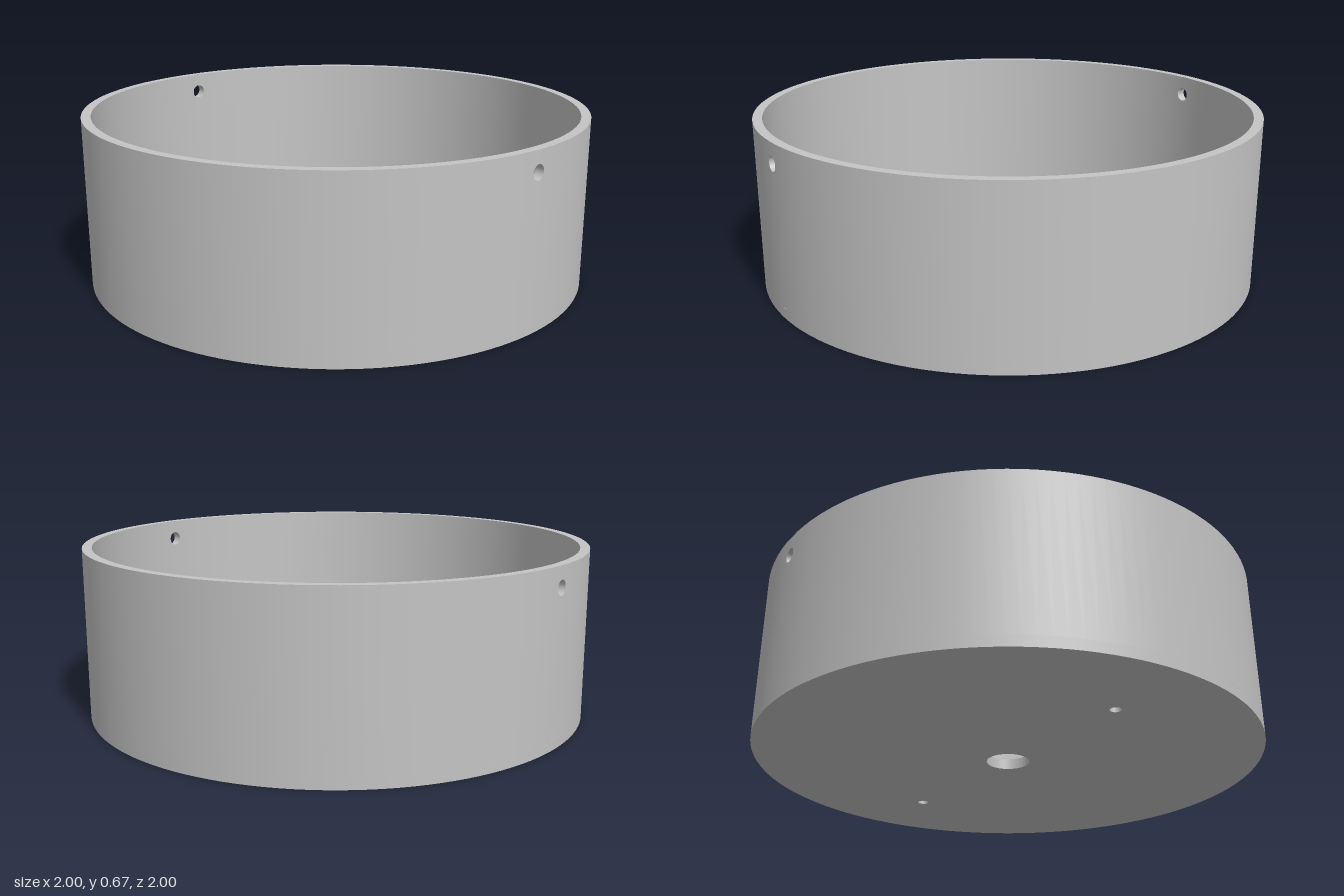
import * as THREE from 'three';

const R = 1, RI = 0.963, H = 0.67, FLOOR = 0.042;   // shell sizes
const HOLE_Y = 0.59, HOLE_R = 0.029, STRIP = 0.05;   // wall holes and half width of the strip around them

// Turn a surface inside out
function flip(geo) {
  geo.index.array.reverse();
  const n = geo.attributes.normal;
  for (let i = 0; i < n.count; i++) n.setXYZ(i, -n.getX(i), -n.getY(i), -n.getZ(i));
  return geo;
}

// Narrow wall strip with a round hole, bent to radius r
function holedStrip(r) {
  const shape = new THREE.Shape([[-STRIP, FLOOR], [STRIP, FLOOR], [STRIP, H], [-STRIP, H]]
    .map(([x, y]) => new THREE.Vector2(x, y)));
  shape.holes.push(new THREE.Path().absarc(0, HOLE_Y, HOLE_R, 0, Math.PI * 2, true));
  const geo = new THREE.ShapeGeometry(shape, 12);
  const p = geo.attributes.position, n = geo.attributes.normal;
  for (let i = 0; i < p.count; i++) {
    const x = p.getX(i), z = Math.sqrt(r * r - x * x);
    p.setZ(i, z);
    n.setXYZ(i, x / r, 0, z / r);
  }
  return geo;
}

// Half of the cylindrical skin, between the two strips
function halfSkin(r) {
  const a = Math.asin(STRIP / r);
  const profile = [new THREE.Vector2(r, FLOOR), new THREE.Vector2(r, H)];
  return new THREE.LatheGeometry(profile, 62, a, Math.PI - 2 * a);
}

// Bore of a wall hole, its ends following both skins
function holeBore() {
  const geo = new THREE.CylinderGeometry(HOLE_R, HOLE_R, 1, 24, 1, true).rotateX(Math.PI / 2);
  const p = geo.attributes.position;
  for (let i = 0; i < p.count; i++) {
    const r = p.getZ(i) > 0 ? R : RI, x = p.getX(i);
    p.setZ(i, Math.sqrt(r * r - x * x));
  }
  return flip(geo.translate(0, HOLE_Y, 0));
}

// Floor disc with a centre hole and two small screw holes
function floorDisc() {
  const shape = new THREE.Shape().absarc(0, 0, R, 0, Math.PI * 2, false);
  for (const [x, r] of [[0, 0.085], [-0.64, 0.022], [0.64, 0.022]]) {
    shape.holes.push(new THREE.Path().absarc(x, 0, r, 0, Math.PI * 2, true));
  }
  const geo = new THREE.ExtrudeGeometry(shape, { depth: FLOOR, bevelEnabled: false, curveSegments: 64 });
  const p = geo.attributes.position, n = geo.attributes.normal;
  for (let i = 0; i < p.count; i++) {   // smooth outer edge
    const x = p.getX(i), y = p.getY(i);
    if (Math.hypot(x, y) > 0.99 && Math.abs(n.getZ(i)) < 0.5) n.setXYZ(i, x, y, 0);
  }
  return geo.rotateX(-Math.PI / 2);
}

export function createModel() {
  const model = new THREE.Group();
  model.name = 'roundHousing';
  const grey = new THREE.MeshStandardMaterial({ color: 0xc4c4c4 });
  grey.name = 'plainGrey';
  const add = (parent, name, geo) => {
    const mesh = new THREE.Mesh(geo, grey);
    mesh.name = name;
    parent.add(mesh);
    return mesh;
  };

  add(model, 'floor', floorDisc());
  add(model, 'rim', new THREE.RingGeometry(RI, R, 128).rotateX(-Math.PI / 2)).position.y = H;

  // Wall: two identical halves, each with one hole
  for (const [i, side] of ['front', 'back'].entries()) {
    const half = new THREE.Group();
    half.name = side + 'Wall';
    half.rotation.y = i * Math.PI;
    add(half, 'outerWall', halfSkin(R));
    add(half, 'innerWall', flip(halfSkin(RI)));
    add(half, 'outerHoleStrip', holedStrip(R));
    add(half, 'innerHoleStrip', flip(holedStrip(RI)));
    add(half, 'holeBore', holeBore());
    model.add(half);
  }
  return model;
}
